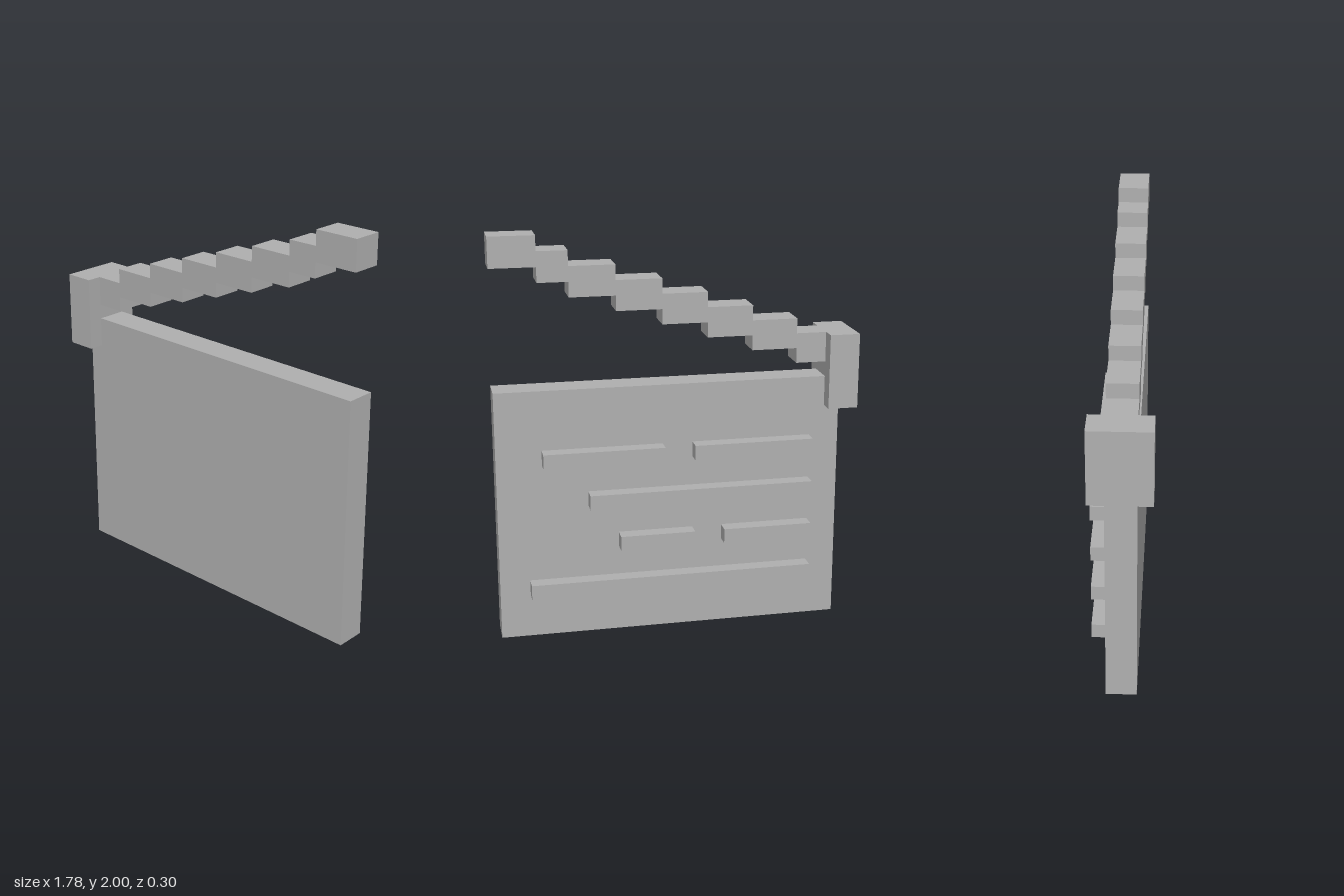
import * as THREE from 'three';

const U = 2 / 27; // grid unit all parts are aligned to

export function createModel() {
  const model = new THREE.Group();
  model.name = 'clapperboard';
  const grey = new THREE.MeshStandardMaterial({ color: 0xb0b0b0 });
  grey.name = 'grey';

  // Box between two corners given in grid units
  function block(name, x0, x1, y0, y1, z0, z1, parent = model) {
    const geometry = new THREE.BoxGeometry((x1 - x0) * U, (y1 - y0) * U, (z1 - z0) * U);
    const mesh = new THREE.Mesh(geometry, grey);
    mesh.name = name;
    mesh.position.set((x0 + x1) * U / 2, (y0 + y1) * U / 2, (z0 + z1) * U / 2);
    parent.add(mesh);
  }

  block('board', -11, 12, 0, 17, -1, 1);
  block('hinge', -12, -10, 15, 20, -2, 2);

  // Raised clap stick, climbing one unit per step
  const stick = new THREE.Group();
  stick.name = 'clapStick';
  model.add(stick);
  const edges = [-10, -8, -5, -2, 1, 4, 7, 9, 12];
  for (let i = 0; i < edges.length - 1; i++) {
    block('stickStep', edges[i], edges[i + 1], 18 + i, 20 + i, -1, 1, stick);
  }

  // Raised writing lines on the back: [x start, x end, y bottom]
  const lines = new THREE.Group();
  lines.name = 'writingLines';
  model.add(lines);
  const rows = [[1, 9, 12], [-9, -1, 12], [-9, 6, 9], [-1, 4, 6], [-9, -3, 6], [-9, 10, 3]];
  for (const [x0, x1, y] of rows) block('writingLine', x0, x1, y, y + 1, -2, -1, lines);

  return model;
}
